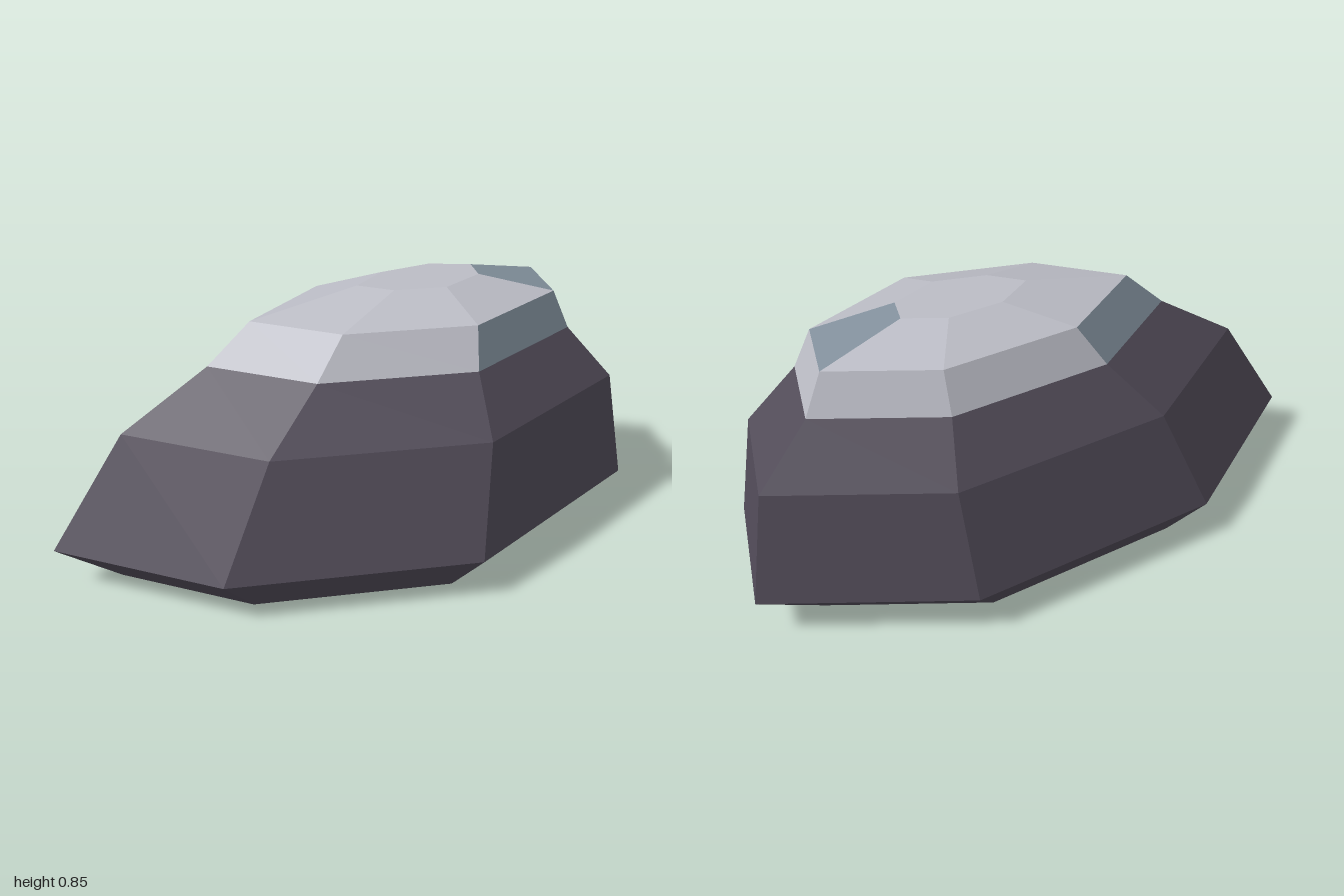
import * as THREE from 'three';

// Seven-sided outline at the widest level, as [x, z]
const OUTLINE = [[-1, -0.16], [-0.39, -0.52], [0.45, -0.52], [1, -0.19], [0.86, 0.25], [0.13, 0.52], [-0.62, 0.28]];

// Each level: height, scale of the outline, shift in x and z
const LEVELS = [
  [0, 0.79, -0.01, -0.01],
  [0.135, 1, 0, 0],
  [0.485, 0.85, 0.09, -0.01],
  [0.66, 0.625, 0.145, -0.022],
  [0.785, 0.525, 0.185, -0.026],
  [0.85, 0.212, 0.225, -0.045],
];

function facetGeometry(polygons) {
  const pos = [];
  for (const p of polygons) {
    for (let i = 1; i < p.length - 1; i++) pos.push(...p[0], ...p[i], ...p[i + 1]);
  }
  const geo = new THREE.BufferGeometry();
  geo.setAttribute('position', new THREE.Float32BufferAttribute(pos, 3));
  geo.computeVertexNormals();
  return geo;
}

export function createModel() {
  const darkStone = new THREE.MeshStandardMaterial({ color: 0x524c59, flatShading: true });
  const paleStone = new THREE.MeshStandardMaterial({ color: 0xbcbdc6, flatShading: true });
  const blueStone = new THREE.MeshStandardMaterial({ color: 0x82909c, flatShading: true });
  darkStone.name = 'darkStone';
  paleStone.name = 'paleStone';
  blueStone.name = 'blueStone';

  const rings = LEVELS.map(([y, s, dx, dz]) => OUTLINE.map(([x, z]) => [x * s + dx, y, z * s + dz]));
  const side = (level, i) => {
    const j = (i + 1) % OUTLINE.length;
    const lo = rings[level], hi = rings[level + 1];
    return [lo[i], hi[i], hi[j], lo[j]];
  };

  // Rock body with its underside, pale cap, and the few blue facets of the cap
  const body = [rings[0]];
  const cap = [[...rings[5]].reverse()];
  const blue = [];
  const blueFacets = ['3-0', '3-4', '4-3'];
  for (let level = 0; level < 5; level++) {
    for (let i = 0; i < OUTLINE.length; i++) {
      const target = level < 3 ? body : blueFacets.includes(`${level}-${i}`) ? blue : cap;
      target.push(side(level, i));
    }
  }

  const group = new THREE.Group();
  group.name = 'rock';
  for (const [name, polygons, material] of [
    ['rockBody', body, darkStone],
    ['paleCap', cap, paleStone],
    ['blueFacets', blue, blueStone],
  ]) {
    const mesh = new THREE.Mesh(facetGeometry(polygons), material);
    mesh.name = name;
    group.add(mesh);
  }
  return group;
}
